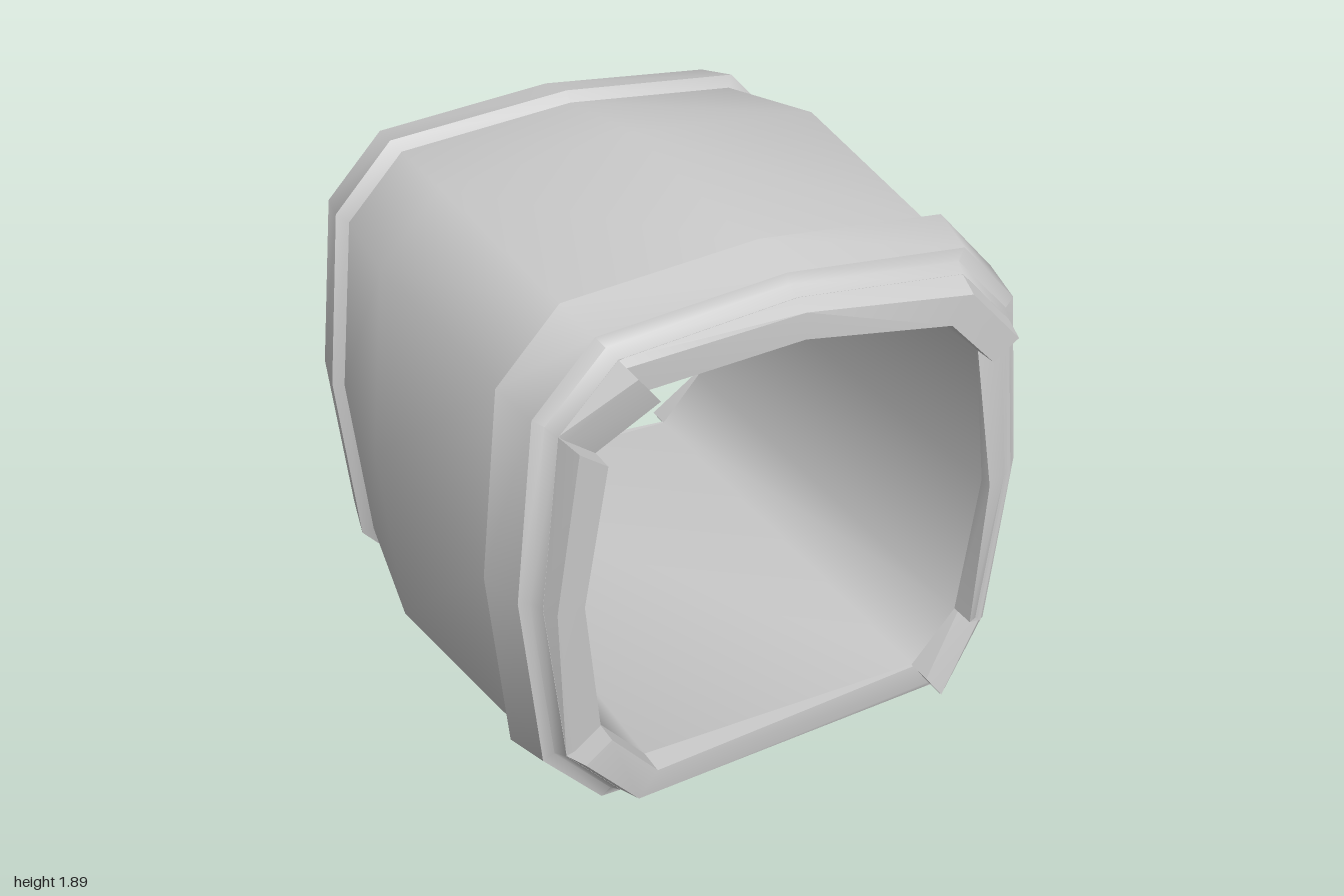
import * as THREE from 'three';
import { toCreasedNormals } from 'three/addons/utils/BufferGeometryUtils.js';

const material = new THREE.MeshStandardMaterial({ color: 0xcccccc });

// Cross-section clockwise from the top middle, shrunk inward by d.
function outline(d) {
  const half = [[0.69 - 0.79 * d, 1.83 - d], [0.91 - d, 1.59 - 0.71 * d], [0.975 - d, 0.92],
    [0.91 - d, 0.24 + 0.76 * d], [0.69 - 0.75 * d, d]];
  return [[0, 1.89 - d], ...half, ...half.map(([x, y]) => [-x, y]).reverse()];
}

// Skin over rows of points; optional caps close the two ends of a strip.
function skin(rows, { wrap = false, caps = false, flip = false, crease = 0.9 } = {}) {
  const n = rows[0].length, index = [];
  const quad = (a, b, c, d) => index.push(...(flip ? [a, c, b, a, d, c] : [a, b, c, a, c, d]));
  for (let j = 0; j < rows.length - 1; j++) {
    for (let i = 0; i < (wrap ? n : n - 1); i++) {
      const k = (i + 1) % n;
      quad(j * n + i, (j + 1) * n + i, (j + 1) * n + k, j * n + k);
    }
  }
  if (caps) {
    quad(0, 3 * n, 2 * n, n);
    const e = n - 1;
    quad(e, n + e, 2 * n + e, 3 * n + e);
  }
  const geometry = new THREE.BufferGeometry();
  geometry.setAttribute('position', new THREE.Float32BufferAttribute(rows.flat(2), 3));
  geometry.setIndex(index);
  return toCreasedNormals(geometry, crease);
}

function addMesh(parent, name, geometry) {
  const mesh = new THREE.Mesh(geometry, material);
  mesh.name = name;
  parent.add(mesh);
}

export function createModel() {
  const model = new THREE.Group();
  model.name = 'barrelTunnel';

  // Bulged barrel with a raised band and collar at each end: [z, inset]
  const end = [[0.645, 0.07], [0.675, 0.035], [0.85, 0.07], [0.862, 0.105], [0.91, 0.125]];
  const outer = [...end.map(([z, d]) => [-z, d]).reverse(), [-0.16, 0], ...end];
  // Ledge at both ends and the straight bore inside
  const profile = [...outer, [0.91, 0.24], [-0.91, 0.24], outer[0]];
  const rows = profile.map(([z, d]) => outline(d).map(([x, y]) => [x, y, z]));
  addMesh(model, 'barrelShell', skin(rows, { wrap: true }));

  // Overlapping rim strips, each rising clockwise: corner numbers and heights
  const strips = [
    { name: 'topRim', at: [10, 0, 1, 2], z: [0.925, 0.965, 1, 1] },
    { name: 'leftRim', at: [2, 3, 4], z: [0.915, 0.955, 1], slanted: true },
    { name: 'lowerLeftCornerRim', at: [4, 5], z: [0.93, 1] },
    { name: 'bottomRim', at: [5, 6, 7], z: [0.92, 1, 1] },
    { name: 'rightRim', at: [7, 8, 9], z: [0.92, 0.96, 1] },
    { name: 'upperRightCornerRim', at: [9, 10], z: [0.915, 1] },
  ];
  for (const side of [1, -1]) {
    const rim = new THREE.Group();
    rim.name = side > 0 ? 'frontRim' : 'backRim';
    for (const { name, at, z, slanted } of strips) {
      const row = (d, height) => at.map((corner, i) => {
        const [x, y] = outline(d)[corner];
        return [x, y, side * height(i)];
      });
      const base = () => 0.908, front = (i) => z[i];
      const section = [row(0.125, base), row(0.15, slanted ? () => 0.912 : front),
        row(0.24, front), row(0.24, base)];
      addMesh(rim, name, skin(section, { caps: true, flip: side < 0, crease: 0.5 }));
    }
    model.add(rim);
  }
  return model;
}
